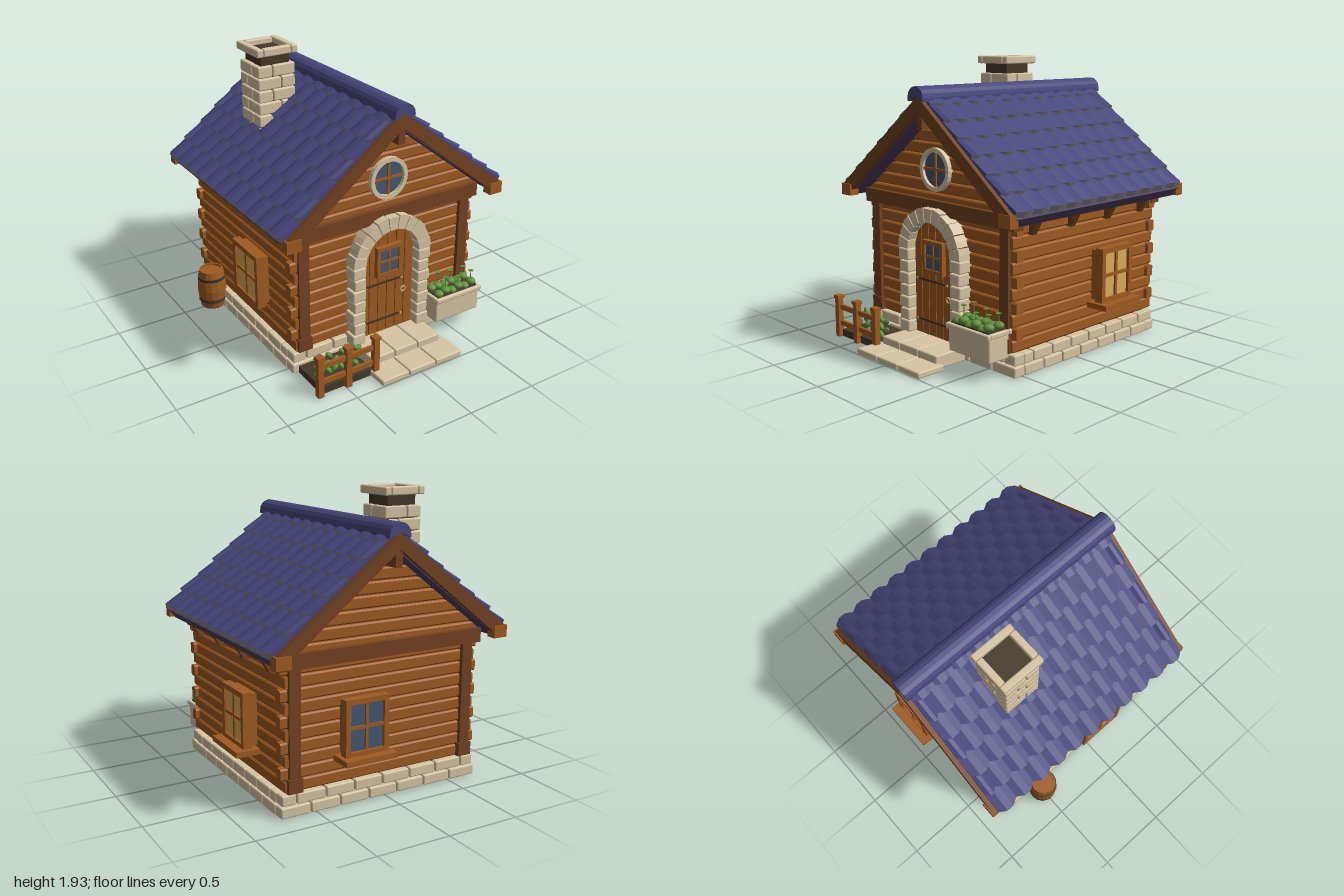
import * as THREE from 'three';
import { RoundedBoxGeometry } from 'three/addons/geometries/RoundedBoxGeometry.js';

const mat = (name, color) => Object.assign(new THREE.MeshStandardMaterial({ color }), { name });
const roofBlue = mat('roof blue', 0x47477d), tileEdge = mat('tile edge grey', 0x8f8d97), deckPurple = mat('deck purple', 0x4f3f5f),
  logWood = mat('log wood', 0xa05b21), timber = mat('dark timber', 0x734222), stone = mat('stone', 0xd8c6a4),
  dark = mat('soil and iron', 0x443829), blueGlass = mat('blue glass', 0x445872),
  warmGlass = mat('warm glass', 0xdcae5a), leaf = mat('leaf green', 0x618f3d);
const { PI, cos, sin, sqrt, sign, abs, min, max } = Math;

function add(parent, name, geo, material, x = 0, y = 0, z = 0) {
  const m = new THREE.Mesh(geo, material);
  m.name = name;
  m.position.set(x, y, z);
  parent.add(m);
  return m;
}
const box = (p, name, m, w, h, d, x, y, z) => add(p, name, new THREE.BoxGeometry(w, h, d), m, x, y, z);
const block = (p, name, w, h, d, x, y, z) => add(p, name, new RoundedBoxGeometry(w, h, d, 1, 0.01), stone, x, y, z);
const rod = (p, name, m, top, bottom, h, x, y, z, n = 14) => add(p, name, new THREE.CylinderGeometry(top, bottom, h, n), m, x, y, z);
const flat = (g) => { const f = g.index ? g.toNonIndexed() : g; f.computeVertexNormals(); return f; };
const slab = (points, depth) => new THREE.ExtrudeGeometry(
  new THREE.Shape(points.map(([x, y]) => new THREE.Vector2(x, y))), { depth, bevelEnabled: false });
function group(parent, name, x = 0, y = 0, z = 0, turn = 0) {
  const g = new THREE.Group();
  g.name = name;
  g.position.set(x, y, z);
  g.rotation.y = turn;
  parent.add(g);
  return g;
}

// Lightly chamfered log running along z
function logGeo(length) {
  const a = 0.03, b = 0.038, c = 0.009;
  return slab([[a, c - b], [a, b - c], [a - c, b], [c - a, b], [-a, b - c], [-a, c - b], [c - a, -b], [a - c, -b]], length)
    .translate(0, 0, -length / 2);
}

// Four-pane window facing +z, with a smaller casing behind the frame
function addWindow(parent, name, w, h, bar, depth, glass, x, y, z, turn) {
  const g = group(parent, name, x, y, z, turn);
  box(g, 'casing', logWood, w - bar, h - bar, 0.08, 0, 0, -0.035);
  for (const s of [-1, 1]) {
    box(g, 'frameSide', logWood, bar, h, depth, s * (w - bar) / 2, 0, depth / 2);
    box(g, 'frameRail', logWood, w - 2 * bar, bar, depth, 0, s * (h - bar) / 2, depth / 2);
  }
  box(g, 'glass', glass, w - bar, h - bar, 0.008, 0, 0, depth * 0.6);
  box(g, 'mullion', logWood, bar * 0.6, h - bar, depth * 0.25, 0, 0, depth * 0.75);
  box(g, 'crossbar', logWood, w - bar, bar * 0.6, depth * 0.25, 0, 0, depth * 0.75);
  return g;
}

function addFoundation(house) {
  const g = group(house, 'foundation');
  box(g, 'floor', timber, 1.34, 0.13, 1.3, 0, 0.08, 0);
  for (let row = 0; row < 2; row++) for (let side = 0; side < 4; side++) {
    const length = side % 2 ? 1.24 : 1.47 - row * 0.02, out = (side % 2 ? 0.735 : 0.705) - row * 0.008, w = length / 7;
    const run = group(g, 'stoneCourse', 0, 0.036 + row * 0.073, 0, side * PI / 2);
    for (let i = 0; i < 7 + row; i++) {
      const a = max(0, (i - row * 0.5) * w), b = min(length, (i + 1 - row * 0.5) * w);
      block(run, 'foundationStone', b - a - 0.008, 0.069, 0.09, (a + b) / 2 - length / 2, 0, out - 0.045);
    }
  }
}

function addWalls(house) {
  const g = group(house, 'walls');
  box(g, 'wallCore', timber, 1.35, 0.84, 1.3, 0, 0.56, 0);
  add(g, 'gableCore', slab([[-0.7, 0.97], [0.7, 0.97], [0.7, 1.06], [0, 1.61], [-0.7, 1.06]], 1.3), timber, 0, 0, -0.65);
  for (const s of [-1, 1]) {
    // Corner logs alternate in length, gable logs shorten upwards
    for (let i = 0; i < 17; i++) {
      const y = i < 10 ? 0.192 + i * 0.0815 : 1.02 + (i - 10) * 0.083;
      const length = i < 10 ? (i % 2 ? 1.45 : 1.38) : 2 * min(0.72, (1.62 - y) / 0.78);
      add(g, i < 10 ? 'endLog' : 'gableLog', logGeo(length), logWood, 0, y, s * 0.655).rotation.y = PI / 2;
      if (i < 10) add(g, 'sideLog', logGeo(i % 2 ? 1.33 : 1.39), logWood, s * 0.67, y, 0);
    }
    box(g, 'tieBeam', timber, 1.47, 0.095, 0.08, 0, 0.972, s * 0.68);
    for (const t of [-1, 1]) {
      box(g, 'cornerPost', timber, 0.076, 0.72, 0.06, t * 0.637, 0.59, s * 0.68);
      box(g, 'postBase', timber, 0.1, 0.09, 0.07, t * 0.637, 0.2, s * 0.682);
    }
    // Brackets under the eaves
    for (const z of [-0.535, -0.18, 0.18, 0.535]) {
      const b = group(g, 'eaveBracket', s * 0.69, 0.98, z, s > 0 ? 0 : PI);
      add(b, 'bracketWedge', slab([[0, 0], [0, -0.1], [0.035, -0.1], [0.09, 0]], 0.04), timber, 0, 0, -0.02);
    }
  }
}

// Domed tile with clipped lower corners and a grey lower lip
function tileGeo(length, width) {
  const geo = new THREE.BoxGeometry(length, 0.044, width, 1, 1, 3), p = geo.attributes.position;
  for (let i = 0; i < p.count; i++) {
    if (abs(p.getZ(i)) < width * 0.4) p.setY(i, p.getY(i) + 0.016);
    else if (p.getX(i) > 0) p.setX(i, length / 2 - 0.025);
  }
  return flat(geo);
}

function addRoof(house) {
  const g = group(house, 'roof'), W = 0.148, tileMats = [tileEdge, ...Array(5).fill(roofBlue)];
  for (const turn of [0, PI]) {
    const pitch = group(group(g, 'roofSide', 0, 1.68, 0, turn), 'roofPitch');
    pitch.rotation.z = -Math.atan(0.78);
    box(pitch, 'roofDeck', deckPurple, 1.065, 0.07, 1.6, 0.5325, -0.035, 0);
    for (let r = 0; r < 7; r++) for (let i = 0; i < 11 + r % 2; i++) {
      const end = r % 2 && i % 11 === 0, length = r < 6 ? 0.21 : 0.1;
      const z = end ? sign(i - 5) * 5.25 * W : (i - 5 - (r % 2) * 0.5) * W;
      add(pitch, 'roofTile', tileGeo(length, end ? W / 2 : W), tileMats, 1.068 - r * 0.159 - length / 2, 0.012, z).rotation.z = 0.11;
    }
  }
  const ridge = [[-0.075, 1.665], [0, 1.7], [0.075, 1.665]];
  for (let i = 0; i <= 8; i++) ridge.push([0.075 * cos(i * PI / 8), 1.69 + 0.072 * sin(i * PI / 8)]);
  add(g, 'ridgeCap', slab(ridge, 1.7), roofBlue, 0, 0, -0.84);
  for (const s of [-1, 1]) {
    add(g, 'bargeBoard', slab([[0, 1.7], [-0.83, 1.05], [-0.83, 0.97], [-0.77, 0.99], [0, 1.6],
      [0.77, 0.99], [0.83, 0.97], [0.83, 1.05]], 0.04), timber, 0, 0, s * 0.825 - 0.02);
    box(g, 'kingBlock', timber, 0.05, 0.13, 0.16, 0, 1.555, s * 0.75);
    for (const t of [-1, 1]) box(g, 'eaveBeamEnd', logWood, 0.1, 0.08, 0.07, t * 0.785, 1.015, s * 0.82);
  }
}

function addChimney(house) {
  const g = group(house, 'chimney', -0.325, 0, -0.27);
  box(g, 'flue', dark, 0.215, 0.7, 0.215, 0, 1.54, 0);
  for (const s of [-1, 1]) {
    for (let i = 0; i < 7; i++) for (const t of [-1, 1]) {
      const split = i % 2 ? 0.035 : -0.03, w = 0.142 - s * split, d = 0.135 + t * split;
      block(g, 'chimneyStone', w - 0.005, 0.079, d - 0.005, s * (0.142 - w / 2), 1.255 + i * 0.085, t * (0.135 - d / 2));
    }
    block(g, 'capStone', 0.048, 0.055, 0.305, s * 0.128, 1.9, 0);
    block(g, 'capStone', 0.205, 0.055, 0.048, 0, 1.9, s * 0.128);
  }
}

function addDoor(house) {
  const g = group(house, 'doorway'), spring = 0.67, r = 0.212, n = 11;
  const topAt = (x) => spring + sqrt(max(0, r * r - x * x)), pt = (q, t) => [q * cos(t), q * sin(t)];
  for (let i = 0; i < 6; i++) {
    const a = -r + i * r / 3, b = a + r / 3, m = (a + b) / 2;
    const plank = (e, depth) => slab([[a + e, 0.09], [b - e, 0.09], [b - e, topAt(b - e)], [m, topAt(m)], [a + e, topAt(a + e)]], depth);
    add(g, 'doorBacking', plank(0, 0.03), timber, 0, 0, 0.665);
    add(g, 'doorPlank', plank(0.003, 0.015), logWood, 0, 0, 0.692);
  }
  for (const y of [0.19, 0.47]) {
    box(g, 'hingeStrap', dark, 0.31, 0.014, 0.01, -0.035, y, 0.71);
    for (const x of [-0.18, 0.115]) box(g, 'hingeStud', warmGlass, 0.014, 0.014, 0.008, x, y, 0.715);
  }
  add(g, 'doorRing', new THREE.TorusGeometry(0.018, 0.006, 6, 14), warmGlass, 0.13, 0.375, 0.715);
  addWindow(g, 'doorWindow', 0.2, 0.22, 0.026, 0.04, blueGlass, 0, 0.64, 0.7, 0);
  // Stone surround
  for (const s of [-1, 1]) for (let i = 0; i < 7; i++) {
    const w = i % 2 ? 0.09 : 0.1;
    block(g, 'jambStone', w, 0.079, 0.115, s * (r - 0.003 + w / 2), 0.131 + i * 0.083, 0.7175);
  }
  for (let i = 0; i < n; i++) {
    const a = (i + 0.04) * PI / n, b = (i + 0.96) * PI / n, o = i % 2 ? 0.302 : 0.308;
    add(g, 'archStone', slab([pt(r, a), pt(o, a), pt(o, (a + b) / 2), pt(o, b), pt(r, b)], 0.115), stone, 0, spring, 0.66);
  }
  // Steps
  for (const i of [-1, 0, 1]) {
    block(g, 'upperStep', 0.183, 0.092, 0.28, i * 0.186, 0.046, 0.81);
    block(g, 'lowerStep', 0.21, 0.042, 0.21, i * 0.214 + 0.003, 0.021, 1.025);
  }
}

function addWindows(house) {
  const left = addWindow(house, 'leftWallWindow', 0.31, 0.37, 0.034, 0.06, warmGlass, 0.745, 0.52, -0.185, PI / 2);
  const back = addWindow(house, 'backWindow', 0.31, 0.37, 0.034, 0.06, blueGlass, 0.175, 0.52, -0.725, PI);
  addWindow(house, 'rightWallWindow', 0.34, 0.38, 0.034, 0.055, warmGlass, -0.74, 0.53, 0.2, -PI / 2);
  for (const w of [left, back]) box(w, 'windowSill', logWood, 0.37, 0.036, 0.16, 0, -0.197, 0.04);
  // Round gable window
  const g = group(house, 'roundWindow', 0, 1.22, 0.69), ring = new THREE.Shape().absarc(0, 0, 0.143, 0, PI * 2);
  ring.holes.push(new THREE.Path().absarc(0, 0, 0.114, 0, PI * 2, true));
  add(g, 'ringStone', new THREE.ExtrudeGeometry(ring, { depth: 0.04, bevelEnabled: false, curveSegments: 14 }), stone, 0, 0, -0.015);
  rod(g, 'roundGlass', blueGlass, 0.118, 0.118, 0.008, 0, 0, 0, 28).rotation.x = PI / 2;
  box(g, 'mullion', logWood, 0.017, 0.23, 0.015, 0, 0, 0.008);
  box(g, 'crossbar', logWood, 0.23, 0.017, 0.015, 0, 0, 0.008);
}

function addGarden(house) {
  // Stone planter
  const p = group(house, 'planter', 0.492, 0, 0.785), f = group(house, 'fencedBed', -0.495, 0, 0);
  block(p, 'planterBox', 0.37, 0.155, 0.17, 0, 0.2, 0);
  for (const s of [-1, 1]) {
    block(p, 'planterRim', 0.39, 0.035, 0.03, 0, 0.292, s * 0.09);
    block(p, 'planterRim', 0.03, 0.035, 0.16, s * 0.18, 0.292, 0);
  }
  box(p, 'planterSoil', dark, 0.34, 0.03, 0.15, 0, 0.3, 0);
  for (let i = 0; i < 12; i++) {
    const x = (i % 6 - 2.5) * 0.056, z = i < 6 ? -0.04 : 0.045, h = 0.085 + 0.015 * sin(i * 2);
    add(p, 'leafClump', new THREE.SphereGeometry(0.036, 8, 6), leaf, x, 0.325 + 0.01 * sin(i * 3), z).scale.y = 0.75;
    if (i % 2) rod(p, 'flowerStalk', leaf, 0.003, 0.003, h, x, 0.33 + h / 2, z, 5);
    if (i % 2) rod(p, 'flowerHead', leaf, 0.02, 0.012, 0.007, x, 0.33 + h, z, 6);
  }
  // Fenced vegetable bed
  box(f, 'bedSoil', dark, 0.385, 0.05, 0.29, 0, 0.025, 0.84);
  for (const x of [-0.21, 0, 0.21]) {
    box(f, 'fencePost', logWood, 0.04, 0.28, 0.04, x, 0.14, 0.995);
    box(f, 'postCap', logWood, 0.052, 0.022, 0.052, x, 0.285, 0.995);
  }
  for (const y of [0.1, 0.215]) box(f, 'fenceRail', logWood, 0.46, 0.034, 0.02, 0, y, 0.99);
  for (let i = 0; i < 20; i++) {
    const k = i % 5, x = ((i - k) / 5 - 1.5) * 0.095 + (k % 2 - 0.5) * 0.03;
    const l = add(f, 'vegetableLeaf', new THREE.SphereGeometry(0.026, 8, 6), leaf, x, 0.065 + k * 0.029, 0.88 + 0.012 * sin(k * 2 + i));
    l.scale.set(1.3, 0.7, 0.7);
    l.rotation.z = k % 2 ? 0.8 : -0.8;
  }
  // Barrel
  const b = group(house, 'barrel', -0.79, 0.01, -0.365);
  const profile = [[0, 0], [0.085, 0], [0.1, 0.08], [0.105, 0.145], [0.1, 0.21], [0.085, 0.29], [0.074, 0.29], [0.074, 0.275], [0, 0.275]];
  add(b, 'barrelStaves', flat(new THREE.LatheGeometry(profile.map(([x, y]) => new THREE.Vector2(x, y)), 14)), logWood);
  for (const y of [0.06, 0.23]) rod(b, 'barrelHoop', dark, 0.1, 0.1, 0.022, 0, y, 0);
}

export function createModel() {
  const root = new THREE.Group();
  root.name = 'logCottage';
  const house = group(root, 'cottage', 0.015, 0, -0.132);
  for (const build of [addFoundation, addWalls, addRoof, addChimney, addDoor, addWindows, addGarden]) build(house);
  return root;
}
